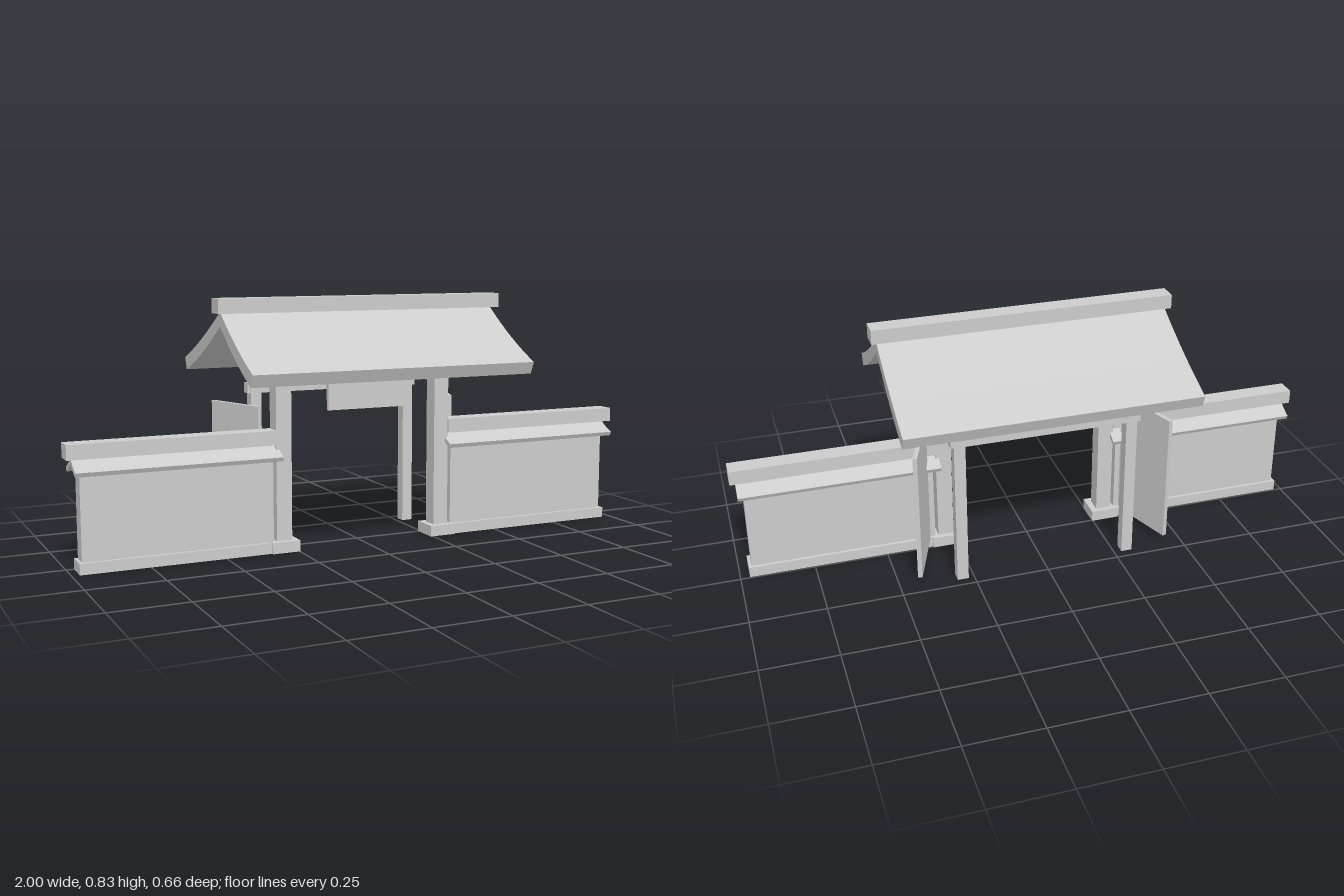
import * as THREE from 'three';
import { toCreasedNormals } from 'three/addons/utils/BufferGeometryUtils.js';

const grey = new THREE.MeshStandardMaterial({ color: 0xcccccc });
grey.name = 'plain grey';

// Box given by its limits on each axis
function box(parent, name, x0, x1, y0, y1, z0, z1) {
  const mesh = new THREE.Mesh(new THREE.BoxGeometry(x1 - x0, y1 - y0, z1 - z0), grey);
  mesh.position.set((x0 + x1) / 2, (y0 + y1) / 2, (z0 + z1) / 2);
  mesh.name = name;
  parent.add(mesh);
  return mesh;
}

// Curved gable roof: a (z, y) profile run along x. Each list holds end, control, peak, control, end.
function roof(parent, name, x0, x1, top, under) {
  const shape = new THREE.Shape();
  shape.moveTo(...top[0]);
  shape.quadraticCurveTo(...top[1], ...top[2]);
  shape.quadraticCurveTo(...top[3], ...top[4]);
  shape.lineTo(...under[4]);
  shape.quadraticCurveTo(...under[3], ...under[2]);
  shape.quadraticCurveTo(...under[1], ...under[0]);
  shape.closePath();
  let geo = new THREE.ExtrudeGeometry(shape, { depth: x1 - x0, bevelEnabled: false, curveSegments: 10 });
  geo.rotateY(-Math.PI / 2);
  geo.translate(x1, 0, 0);
  geo = toCreasedNormals(geo, 0.5);
  const mesh = new THREE.Mesh(geo, grey);
  mesh.name = name;
  parent.add(mesh);
}

export function createModel() {
  const model = new THREE.Group();
  model.name = 'gate';

  // Main roof and ridge
  roof(model, 'mainRoof', -0.498, 0.491,
    [[0.333, 0.618], [0.188, 0.682], [0.042, 0.792], [-0.144, 0.685], [-0.331, 0.618]],
    [[0.315, 0.578], [0.18, 0.638], [0.041, 0.746], [-0.135, 0.64], [-0.315, 0.577]]);
  box(model, 'mainRidge', -0.515, 0.51, 0.787, 0.835, 0.01, 0.075);

  // Cross beams and sign board
  box(model, 'frontBeam', -0.349, 0.341, 0.548, 0.597, 0.021, 0.065);
  box(model, 'rearBeam', -0.326, 0.318, 0.499, 0.535, -0.216, -0.183);
  box(model, 'signBoard', -0.142, 0.135, 0.462, 0.56, 0.07, 0.084);

  // Each side: posts, door and garden wall, mirrored about the gate's axis
  for (const s of [1, -1]) {
    const side = new THREE.Group();
    side.name = s > 0 ? 'leftSide' : 'rightSide';
    const axis = -0.003;
    const part = (name, a, b, ...rest) => {
      const p = axis + s * a, q = axis + s * b;
      return box(side, name, Math.min(p, q), Math.max(p, q), ...rest);
    };

    // Gate frame
    part('frontPost', 0.265, 0.319, 0, 0.618, 0.015, 0.07);
    part('postBase', 0.244, 0.341, 0, 0.037, -0.003, 0.091);
    part('rearPost', 0.273, 0.311, 0, 0.543, -0.219, -0.181);
    part('sideBeam', 0.275, 0.309, 0.536, 0.57, -0.219, 0.02);

    // Door leaf swung open
    const door = part('door', 0.388, 0.403, 0.03, 0.479, -0.217, 0.023);
    door.rotation.y = -s * 0.345;

    // Garden wall with its small roof
    part('wallBase', 0.33, 0.972, 0, 0.036, 0.004, 0.083);
    part('wallPanel', 0.33, 0.962, 0.03, 0.32, 0.015, 0.07);
    part('wallRidge', 0.318, 1.001, 0.357, 0.405, 0.01, 0.075);
    const ends = [axis + s * 0.308, axis + s * 0.982].sort((a, b) => a - b);
    roof(side, 'wallRoof', ...ends,
      [[0.109, 0.322], [0.074, 0.336], [0.043, 0.36], [0.012, 0.336], [-0.023, 0.322]],
      [[0.102, 0.308], [0.07, 0.322], [0.043, 0.343], [0.016, 0.322], [-0.016, 0.308]]);
    model.add(side);
  }
  return model;
}
